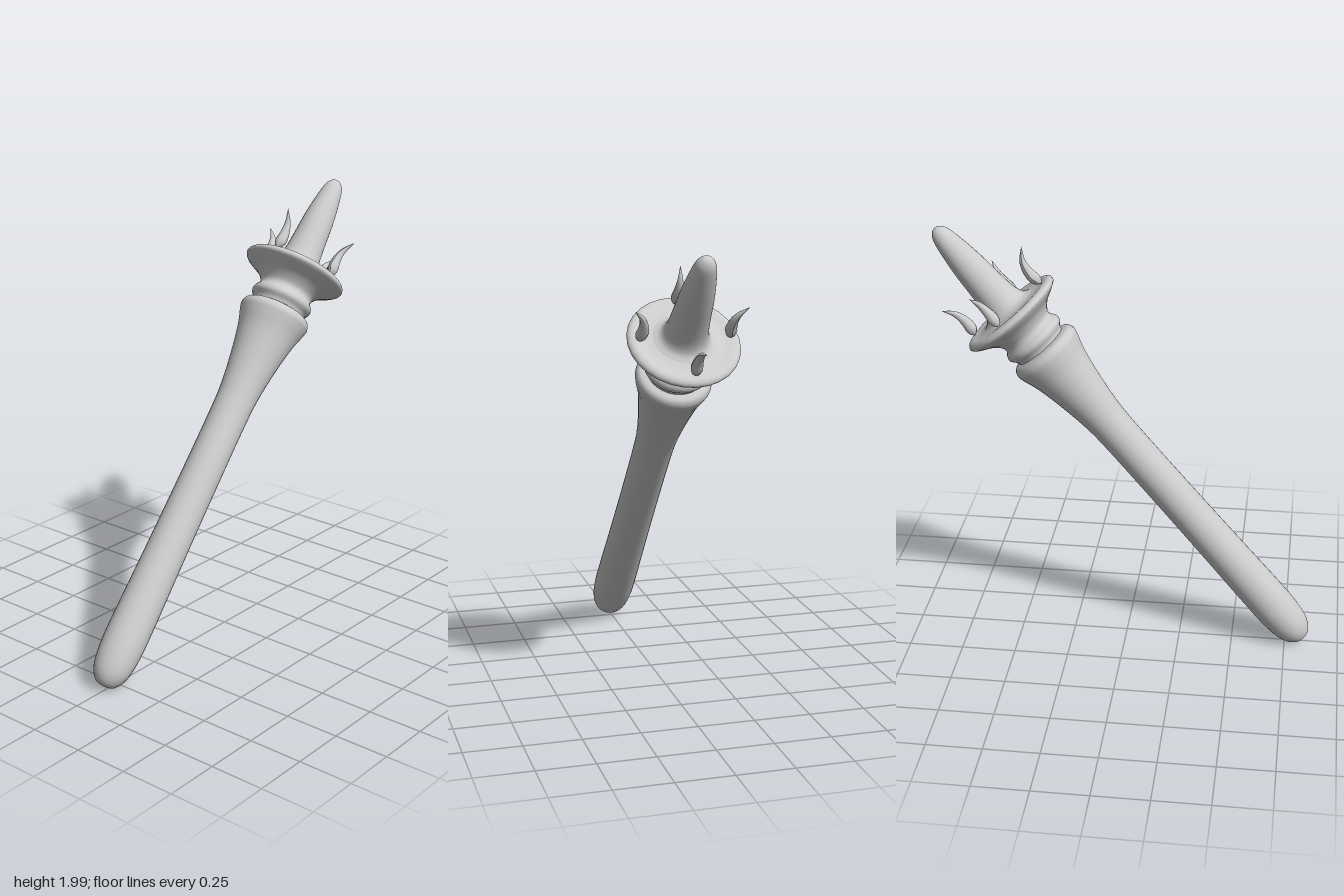
import * as THREE from 'three';

const material = new THREE.MeshStandardMaterial({ color: 0xcccccc });

// Smooth turned part: [radius, height] control points, joined by a spline
function turned(name, points, steps) {
  const curve = new THREE.SplineCurve(points.map(([r, y]) => new THREE.Vector2(r, y)));
  const profile = curve.getPoints(steps);
  profile.forEach((p) => { p.x = Math.max(p.x, 0); });
  const mesh = new THREE.Mesh(new THREE.LatheGeometry(profile, 28), material);
  mesh.name = name;
  return mesh;
}

// Claw: a tube whose rings shrink toward the tip and close at the base
function clawGeometry() {
  const path = new THREE.CatmullRomCurve3([
    new THREE.Vector3(0.2, 0.81, 0),
    new THREE.Vector3(0.188, 0.87, 0),
    new THREE.Vector3(0.2, 0.935, 0),
    new THREE.Vector3(0.242, 0.99, 0),
  ]);
  const rings = 14, sides = 10;
  const geometry = new THREE.TubeGeometry(path, rings, 1, sides);
  const pos = geometry.attributes.position;
  const v = new THREE.Vector3();
  for (let i = 0; i <= rings; i++) {
    const t = i / rings;
    const centre = path.getPointAt(t);
    const radius = 0.029 * Math.min(1, Math.sqrt(t * 5)) * (1 - Math.pow(t, 1.5));
    for (let j = 0; j <= sides; j++) {
      const k = i * (sides + 1) + j;
      v.fromBufferAttribute(pos, k).sub(centre).multiplyScalar(radius).add(centre);
      pos.setXYZ(k, v.x, v.y, v.z);
    }
  }
  geometry.computeVertexNormals();
  return geometry;
}

export function createModel() {
  const model = new THREE.Group();
  model.name = 'clawedRod';

  // Long handle, flaring to a lip
  model.add(turned('handle', [
    [0, -1.285], [0.045, -1.272], [0.08, -1.215], [0.095, -1.11], [0.096, -0.95],
    [0.091, -0.6], [0.088, -0.25], [0.088, 0.05], [0.094, 0.18], [0.112, 0.32],
    [0.136, 0.45], [0.16, 0.53], [0.165, 0.56], [0.152, 0.585], [0.122, 0.595],
  ], 70));

  // Neck bead and dished collar
  model.add(turned('collar', [
    [0.122, 0.593], [0.128, 0.61], [0.144, 0.632], [0.143, 0.652], [0.128, 0.675],
    [0.132, 0.7], [0.165, 0.735], [0.215, 0.764], [0.239, 0.783], [0.236, 0.8],
    [0.215, 0.81], [0.17, 0.806], [0.135, 0.81],
  ], 60));

  // Blunt spike blending out of the dish
  model.add(turned('centreSpike', [
    [0.135, 0.81], [0.106, 0.828], [0.089, 0.87], [0.08, 0.95], [0.071, 1.07],
    [0.058, 1.17], [0.043, 1.245], [0.022, 1.278], [0, 1.286],
  ], 40));

  // Four claws around the dish
  const claw = clawGeometry();
  for (let i = 0; i < 4; i++) {
    const mesh = new THREE.Mesh(claw, material);
    mesh.name = 'claw' + (i + 1);
    mesh.rotation.y = (i * Math.PI) / 2;
    model.add(mesh);
  }

  // Lean the rod so its clawed end points up and back
  model.rotation.x = -THREE.MathUtils.degToRad(40.4);
  model.position.y = 1;
  const root = new THREE.Group();
  root.name = 'rod';
  root.add(model);
  return root;
}
